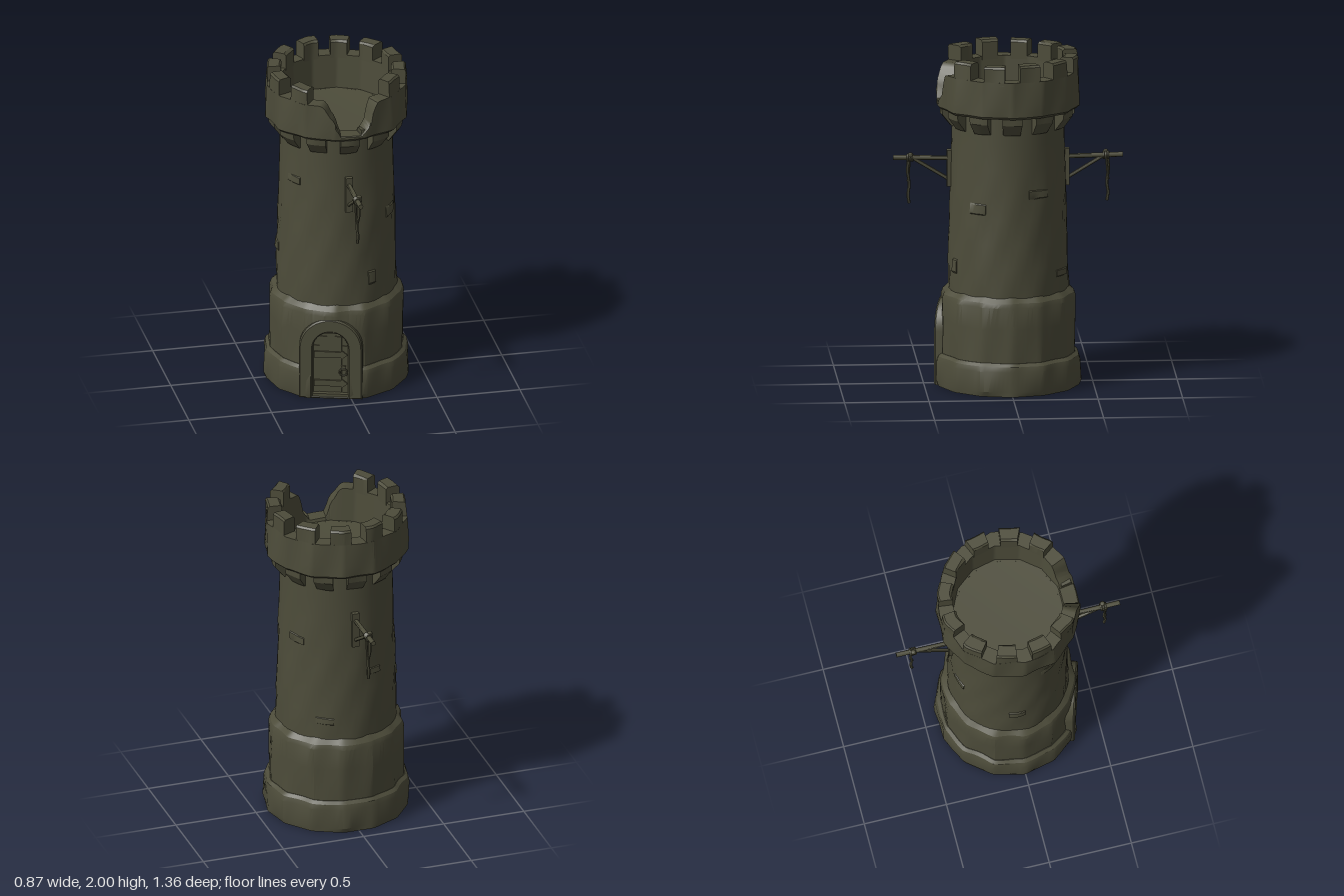
import * as THREE from 'three';
import { toCreasedNormals } from 'three/addons/utils/BufferGeometryUtils.js';

const stone = new THREE.MeshStandardMaterial({ color: 0x4d4c3a });
stone.name = 'mossy stone';
const RAD = Math.PI / 180;
const SIDES = 14;

function add(parent, name, geometry, crease = 0.6) {
  const flat = geometry.index ? geometry.toNonIndexed() : geometry;
  const mesh = new THREE.Mesh(toCreasedNormals(flat, crease), stone);
  mesh.name = name;
  parent.add(mesh);
  return mesh;
}

// Worn masonry: small smooth variation of the radius
const wear = (a, y) => 0.0035 * (Math.sin(7 * a + 9 * y) + Math.sin(11 * a - 15 * y + 1));

// Radius of a many-sided wall of circumradius r at angle a
function faceted(r, a) {
  const step = (2 * Math.PI) / SIDES;
  const t = (((a - Math.PI / 2) % step) + step) % step - step / 2;
  return (r * Math.cos(step / 2)) / Math.cos(t);
}

// Sweep a closed profile of [radius, y] (anticlockwise) around the tower axis; degrees from +z to +x
function sweep(from, to, steps, profileAt, polygonal = true) {
  const rows = [];
  for (let i = 0; i <= steps; i++) {
    const a = (from + ((to - from) * i) / steps) * RAD;
    rows.push(profileAt(a / RAD).map(([r, y]) => {
      const rr = r === 0 ? 0 : (polygonal ? faceted(r, a) : r) + (r > 0.34 && y > 0 ? wear(a, y) : 0);
      return new THREE.Vector3(rr * Math.sin(a), y, rr * Math.cos(a));
    }));
  }
  const out = [];
  const ab = new THREE.Vector3(), ac = new THREE.Vector3();
  const tri = (a, b, c) => {
    if (ab.subVectors(b, a).cross(ac.subVectors(c, a)).length() < 1e-9) return;
    for (const p of [a, b, c]) out.push(p.x, p.y, p.z);
  };
  const n = rows[0].length;
  for (let i = 0; i < steps; i++) {
    for (let j = 0; j < n; j++) {
      const k = (j + 1) % n, A = rows[i], B = rows[i + 1];
      tri(A[j], B[j], B[k]);
      tri(A[j], B[k], A[k]);
    }
  }
  if (to - from < 359.9) {
    const S = rows[0], E = rows[steps];
    for (let j = 1; j < n - 1; j++) {
      tri(S[0], S[j], S[j + 1]);
      tri(E[0], E[j + 1], E[j]);
    }
  }
  const g = new THREE.BufferGeometry();
  g.setAttribute('position', new THREE.Float32BufferAttribute(out, 3));
  return g;
}

// Height of the parapet wall, with the collapsed stretch at the front
function parapetTop(deg) {
  const keys = [[-25, 1.9], [-22, 1.885], [-17, 1.83], [-14, 1.81], [-9, 1.71], [9, 1.705], [13, 1.74], [17, 1.77], [20, 1.85], [24, 1.9]];
  const d = ((deg + 540) % 360) - 180;
  for (let i = 0; i < keys.length - 1; i++) {
    const [a, h] = keys[i], [b, k] = keys[i + 1];
    if (d >= a && d <= b) return h + ((k - h) * (d - a)) / (b - a);
  }
  return 1.9;
}

// Arch-headed outline standing on y = 0
function archPath(path, halfWidth, spring) {
  path.moveTo(-halfWidth, 0);
  path.lineTo(halfWidth, 0);
  path.lineTo(halfWidth, spring);
  path.absarc(0, spring, halfWidth, 0, Math.PI, false);
  path.lineTo(-halfWidth, 0);
  return path;
}

function box(parent, name, w, h, d, x, y, z) {
  const m = add(parent, name, new THREE.BoxGeometry(w, h, d));
  m.position.set(x, y, z);
  return m;
}

// Round bar between two points
function bar(parent, name, a, b, r0, r1 = r0) {
  const p = new THREE.Vector3(...a), q = new THREE.Vector3(...b);
  const m = add(parent, name, new THREE.CylinderGeometry(r1, r0, p.distanceTo(q), 8), 0.9);
  m.position.copy(p).add(q).multiplyScalar(0.5);
  m.quaternion.setFromUnitVectors(new THREE.Vector3(0, 1, 0), q.sub(p).normalize());
  return m;
}

function makeDoorway() {
  const g = new THREE.Group();
  g.name = 'doorway';
  const frame = archPath(new THREE.Shape(), 0.18, 0.315);
  frame.holes.push(archPath(new THREE.Path(), 0.112, 0.315));
  const arch = add(g, 'doorArch', new THREE.ExtrudeGeometry(frame, {
    depth: 0.06, bevelEnabled: true, bevelSize: 0.008, bevelThickness: 0.01, bevelSegments: 1, curveSegments: 10,
  }));
  arch.position.set(0, 0.008, 0.335);
  const panel = add(g, 'doorPanel', new THREE.ExtrudeGeometry(archPath(new THREE.Shape(), 0.115, 0.315), {
    depth: 0.02, bevelEnabled: false, curveSegments: 10,
  }));
  panel.position.z = 0.345;
  // Planks, iron straps and ring
  for (let i = -2; i <= 2; i++) {
    const h = 0.41 - 0.02 * i * i;
    box(g, 'doorPlank', 0.04, h - 0.03, 0.012, i * 0.044, (h + 0.03) / 2, 0.366);
  }
  for (const y of [0.09, 0.275]) {
    const s = new THREE.Shape([[-0.1, -0.02], [0.06, -0.018], [0.065, -0.028], [0.1, 0], [0.065, 0.028], [0.06, 0.018], [-0.1, 0.02]]
      .map(([x, v]) => new THREE.Vector2(x, v)));
    add(g, 'hingeStrap', new THREE.ExtrudeGeometry(s, { depth: 0.012, bevelEnabled: false })).position.set(0, y, 0.37);
  }
  add(g, 'doorRing', new THREE.TorusGeometry(0.022, 0.006, 6, 14), 1).position.set(0.075, 0.165, 0.382);
  box(g, 'ringPlate', 0.03, 0.03, 0.014, 0.075, 0.19, 0.376);
  box(g, 'doorStep', 0.22, 0.03, 0.06, 0, 0.015, 0.37);
  g.rotation.y = -0.3;
  return g;
}

function makeBracket(name) {
  const g = new THREE.Group();
  g.name = name;
  box(g, 'wallPlate', 0.042, 0.22, 0.04, 0, 1.3, 0.343);
  bar(g, 'beam', [0, 1.36, 0.33], [0, 1.367, 0.68], 0.014, 0.015);
  bar(g, 'strut', [0, 1.235, 0.355], [0, 1.36, 0.56], 0.011);
  for (const z of [0.567, 0.58, 0.593]) {
    add(g, 'ropeBinding', new THREE.TorusGeometry(0.018, 0.008, 6, 12), 1).position.set(0, 1.364, z);
  }
  add(g, 'knot', new THREE.IcosahedronGeometry(0.016, 1), 1).position.set(0.012, 1.383, 0.578);
  // Frayed hanging rope
  const path = new THREE.CatmullRomCurve3([[0.004, 1.36, 0.59], [0.008, 1.28, 0.594], [-0.003, 1.2, 0.584], [0.002, 1.14, 0.592], [0, 1.09, 0.584]]
    .map((p) => new THREE.Vector3(...p)));
  add(g, 'hangingRope', new THREE.TubeGeometry(path, 16, 0.009, 6), 1);
  bar(g, 'ropeEnd', [-0.012, 1.36, 0.58], [-0.007, 1.22, 0.592], 0.007);
  return g;
}

export function createModel() {
  const tower = new THREE.Group();
  tower.name = 'tower';

  // Round shaft with the roof floor
  add(tower, 'shaft', sweep(0, 360, 56, () => [
    [0, 0], [0.345, 0], [0.352, 0.45], [0.357, 0.6], [0.353, 0.75], [0.35, 0.9], [0.346, 1.05],
    [0.342, 1.2], [0.338, 1.35], [0.334, 1.5], [0.334, 1.69], [0, 1.685],
  ], false), 0.7);

  // Footing and lower wall, left open at the doorway
  const door = -17.2, half = 16;
  add(tower, 'footing', sweep(door + half, door + 360 - half, 96, () => [
    [0.3, 0], [0.428, 0], [0.434, 0.03], [0.434, 0.15], [0.425, 0.18], [0.405, 0.197], [0.3, 0.197],
  ]), 0.4);
  const lowerWall = (bottom) => () => [
    [0.3, bottom], [0.402, bottom], [0.404, Math.max(bottom, 0.4)], [0.402, 0.53], [0.392, 0.556], [0.355, 0.59], [0.3, 0.59],
  ];
  add(tower, 'lowerWall', sweep(door + half, door + 360 - half, 96, lowerWall(0.18)), 0.4);
  add(tower, 'lintel', sweep(door - half, door + half, 12, lowerWall(0.42)), 0.4);
  tower.add(makeDoorway());

  // Corbels under the parapet
  for (let k = 0; k < 12; k++) {
    add(tower, 'corbel', sweep(k * 30 - 8.5, k * 30 + 8.5, 4, () => [
      [0.31, 1.56], [0.342, 1.565], [0.396, 1.635], [0.4, 1.69], [0.31, 1.69],
    ], false), 0.4);
  }

  // Parapet wall and merlons
  add(tower, 'parapet', sweep(0, 360, 168, (d) => {
    const t = parapetTop(d);
    return [[0.325, 1.678], [0.412, 1.675], [0.428, 1.69], [0.428, Math.min(1.76, t - 0.005)], [0.422, t], [0.335, t]];
  }), 0.6);
  for (let k = 1; k < 11; k++) {
    const c = 15 + k * 30, top = 1.995 + 0.004 * Math.sin(k * 2.3);
    add(tower, 'merlon', sweep(c - 8.6, c + 8.6, 6, () => [
      [0.333, 1.88], [0.422, 1.88], [0.42, top - 0.012], [0.41, top], [0.345, top], [0.333, top - 0.012],
    ]), 0.4);
  }
  // Fallen edge stones in the breach
  add(tower, 'brokenStone', sweep(9, 16, 3, () => [[0.34, 1.68], [0.42, 1.68], [0.41, 1.735], [0.35, 1.73]]), 0.4);

  // Stones standing slightly proud of the shaft: [angle, width, y, height]
  for (const [a, w, y, h] of [[55, 9, 1.11, 0.08], [24, 4, 0.74, 0.1], [118, 10, 1.2, 0.06], [200, 8, 1.0, 0.05], [-60, 9, 1.35, 0.06], [-95, 8, 0.85, 0.07], [150, 9, 0.7, 0.05]]) {
    const r = 0.372 - 0.026 * y;
    add(tower, 'proudStone', sweep(a - w, a + w, 5, () => [
      [0.32, y - h / 2], [r - 0.004, y - h / 2], [r + 0.008, y - h / 3], [r + 0.006, y + h / 3], [r - 0.008, y + h / 2], [0.32, y + h / 2],
    ], false), 0.6);
  }

  // Rope brackets, front and back
  tower.add(makeBracket('frontBracket'));
  const back = makeBracket('backBracket');
  back.rotation.y = Math.PI;
  tower.add(back);
  return tower;
}
